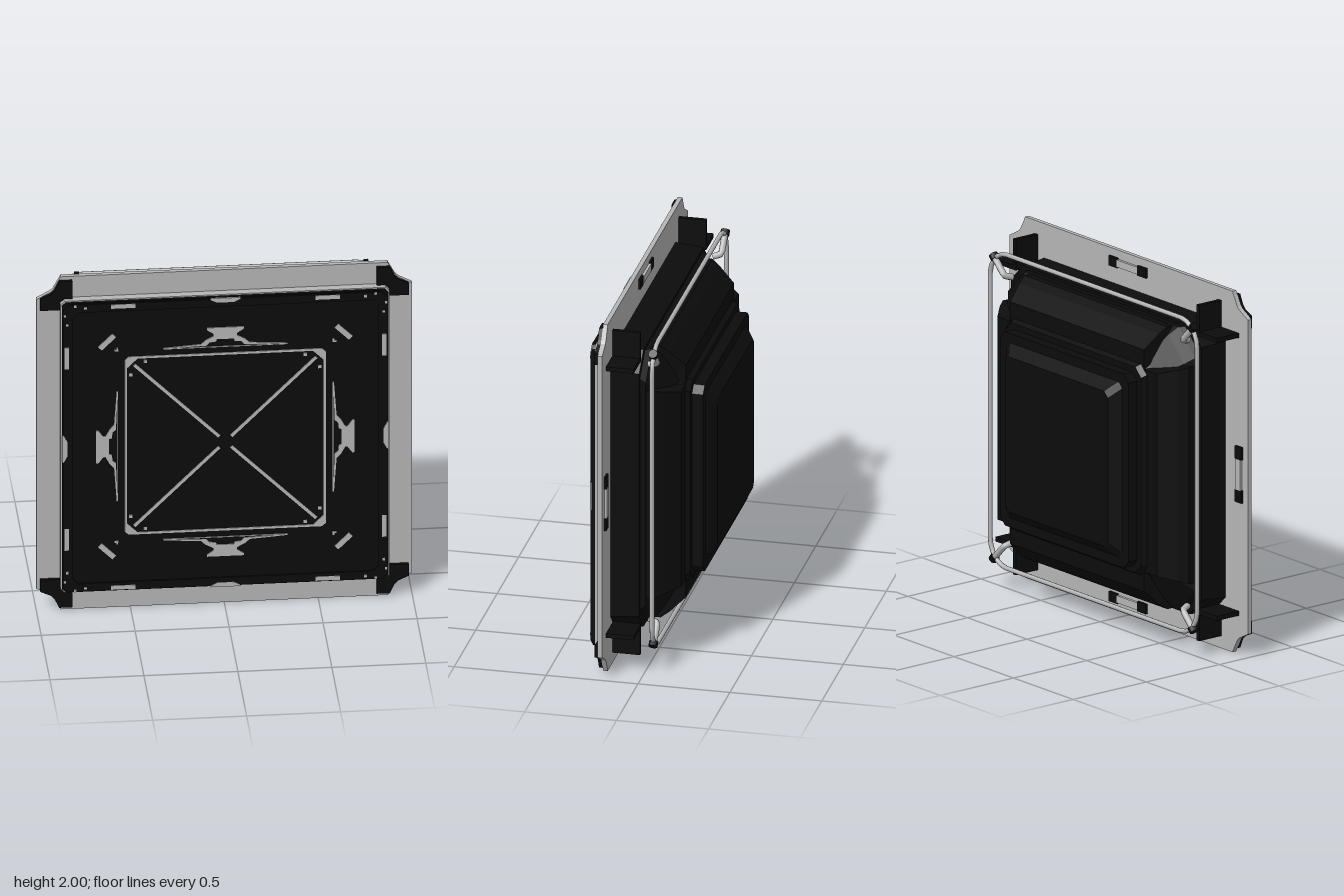
import * as THREE from 'three';

export function createModel() {
  const grey = new THREE.MeshStandardMaterial({ color: 0xb6b6b6 });
  grey.name = 'light grey metal';
  const black = new THREE.MeshStandardMaterial({ color: 0x0c0c0c });
  black.name = 'black shell';

  const root = new THREE.Group();
  root.name = 'squarePanel';
  const body = new THREE.Group();
  body.name = 'panelAssembly';
  body.position.y = 1;
  root.add(body);

  const add = (parent, name, geo, mat) => {
    const m = new THREE.Mesh(geo, mat);
    m.name = name;
    parent.add(m);
    return m;
  };
  const toShape = (pts) => new THREE.Shape(pts.map(([x, y]) => new THREE.Vector2(x, y)));
  // Flat plate between two depths, with optional holes
  const plate = (pts, z0, z1, holes = []) => {
    const s = toShape(pts);
    s.holes = holes.map(toShape);
    return new THREE.ExtrudeGeometry(s, { depth: z1 - z0, bevelEnabled: false }).translate(0, 0, z0);
  };
  const rect = (x, y, w, h) => [
    [x - w / 2, y - h / 2], [x + w / 2, y - h / 2], [x + w / 2, y + h / 2], [x - w / 2, y + h / 2]];
  // Square outline with cut corners, counter-clockwise
  const cutSquare = (h, c) => [
    [h, -h + c], [h, h - c], [h - c, h], [-h + c, h], [-h, h - c], [-h, -h + c], [-h + c, -h], [h - c, -h]];
  const mirrored = (half) => [...half, ...half.map(([x, y]) => [-x, y]).reverse()];
  // Repeats a part on all four sides
  const four = (name, build) => {
    for (let i = 0; i < 4; i++) {
      const g = new THREE.Group();
      g.name = name + (i + 1);
      g.rotation.z = i * Math.PI / 2;
      build(g);
      body.add(g);
    }
  };
  // Stepped shell through cut-corner squares [half, cut, z], from front to back
  const loft = (rings) => {
    const r = rings.map(([h, c, z]) => cutSquare(h, c).map(([x, y]) => [x, y, z]));
    const pos = [];
    for (let k = 0; k + 1 < r.length; k++) {
      for (let i = 0; i < 8; i++) {
        const j = (i + 1) % 8;
        pos.push(...r[k][i], ...r[k + 1][i], ...r[k + 1][j], ...r[k][i], ...r[k + 1][j], ...r[k][j]);
      }
    }
    const e = r[r.length - 1];
    for (let i = 1; i < 7; i++) pos.push(...e[0], ...e[i + 1], ...e[i]);
    const g = new THREE.BufferGeometry();
    g.setAttribute('position', new THREE.Float32BufferAttribute(pos, 3));
    g.computeVertexNormals();
    return g;
  };

  // Outer flange with notched corners
  const flange = [];
  for (let i = 0; i < 4; i++) {
    const c = [1, 0, -1, 0][i], s = [0, 1, 0, -1][i];
    for (const [x, y] of [[1, 0.87], [0.98, 0.88], [0.925, 0.91], [0.91, 0.925], [0.88, 0.98], [0.87, 1]]) {
      flange.push([x * c - y * s, x * s + y * c]);
    }
  }
  add(body, 'flange', plate(flange, 0.195, 0.22, [cutSquare(0.78, 0.05)]), grey);
  add(body, 'rim', plate(cutSquare(0.875, 0.02), 0.2, 0.264), grey);
  add(body, 'frontPanel', plate(cutSquare(0.868, 0.02), 0.264, 0.28), black);
  add(body, 'frontBorder', plate(cutSquare(0.862, 0.03), 0.28, 0.29, [cutSquare(0.815, 0.03)]), black);

  // Stepped rear shell
  add(body, 'rearShell', loft([
    [0.81, 0.1, 0.2], [0.8, 0.1, 0.04], [0.785, 0.12, 0.04], [0.785, 0.14, 0.01], [0.74, 0.13, -0.03],
    [0.62, 0.09, -0.125], [0.585, 0.05, -0.158], [0.57, 0.05, -0.185], [0.537, 0.04, -0.185],
    [0.537, 0.04, -0.246], [0.485, 0.03, -0.246], [0.43, 0.03, -0.298]]), black);

  four('side', (g) => {
    // Raised wedge on the rear slope
    const wedge = plate([[0.5, 0.02], [0.5, -0.158], [0.67, -0.158], [0.75, -0.075], [0.782, -0.03], [0.782, 0.02]], -0.6, 0.6);
    const p = wedge.attributes.position;
    for (let i = 0; i < p.count; i++) {
      const [y, z, x] = [p.getX(i), p.getY(i), p.getZ(i)];
      p.setXYZ(i, x * (1 - Math.max(0, -z - 0.03) * 0.5), y, z);
    }
    wedge.computeVertexNormals();
    add(g, 'rearWedge', wedge, black);
    // Latch behind the flange
    add(g, 'latchGrip', new THREE.BoxGeometry(0.17, 0.04, 0.02).translate(0, 0.93, 0.19), grey);
    for (const s of [-1, 1]) {
      add(g, 'latchEnd', new THREE.BoxGeometry(0.07, 0.055, 0.014).translate(s * 0.12, 0.93, 0.19), black);
      // Gusset fins near the corners
      const fin = plate([[0.76, 0.04], [0.93, 0.04], [0.93, 0.07], [0.86, 0.2], [0.76, 0.2]], -0.0125, 0.0125);
      fin.rotateY(-Math.PI / 2).rotateX(Math.PI / 2);
      const f = fin.attributes.position;
      for (let i = 0; i < f.count; i++) {
        const [a, b, c] = [f.getX(i), f.getY(i), f.getZ(i)];
        // remap so the fin reaches outward in y and back in z
        f.setXYZ(i, a, b, c);
      }
      fin.computeBoundingBox();
      add(g, 'gussetFin', new THREE.BoxGeometry(0.025, 0.17, 0.15).translate(s * 0.77, 0.845, 0.115), black);
      // Edge strips on the front
      add(g, 'edgeStrip', plate(rect(s * 0.545, 0.845, 0.13, 0.024), 0.288, 0.293), grey);
      add(g, 'smallDash', plate(rect(s * 0.58, 0.575, 0.022, 0.01), 0.28, 0.284), grey);
      add(g, 'cornerDot', plate(rect(s * 0.745, 0.842, 0.014, 0.014), 0.288, 0.293), grey);
      add(g, 'cornerDot', plate(rect(s * 0.8, 0.855, 0.014, 0.014), 0.288, 0.293), grey);
      add(g, 'cornerDot', plate(rect(s * 0.425, 0.503, 0.018, 0.018), 0.28, 0.284), grey);
    }
    add(g, 'edgeTab', plate(mirrored([[0.045, 0.842], [0.08, 0.86], [0.08, 0.868]]), 0.285, 0.293), grey);

    // Inlaid bracket above the central square
    add(g, 'inlayBracket', plate(mirrored([
      [0.33, 0.57], [0.33, 0.578], [0.13, 0.592], [0.105, 0.615], [0.062, 0.638], [0.062, 0.65], [0.098, 0.675], [0.098, 0.688],
    ]), 0.28, 0.285, [mirrored([[0.3, 0.5745], [0.1, 0.582], [0.085, 0.6], [0.05, 0.604], [0.045, 0.618]])]), grey);
  });

  four('corner', (g) => {
    // Black corner bracket on the flange
    add(g, 'cornerBracket', plate([
      [0.81, 0.81], [0.98, 0.81], [0.98, 0.88], [0.925, 0.905], [0.905, 0.925], [0.88, 0.98], [0.81, 0.98]], 0.2, 0.24), black);
    // Diagonal line and dash on the front
    add(g, 'diagonalLine', plate(rect(0.365, 0, 0.64, 0.018), 0.28, 0.284).rotateZ(Math.PI / 4), grey);
    add(g, 'diagonalDash', plate(rect(0.89, 0, 0.03, 0.108), 0.28, 0.285).rotateZ(Math.PI / 4), grey);
    // Strut and collar holding the rear rail
    const a = new THREE.Vector3(0.735, 0.735, 0.0), b = new THREE.Vector3(0.75, 0.75, -0.045);
    const c = new THREE.Vector3(0.845, 0.845, -0.045);
    const path = new THREE.CatmullRomCurve3([a, b, c], false, 'catmullrom', 0.1);
    add(g, 'railStrut', new THREE.TubeGeometry(path, 12, 0.018, 8), grey);
    const collar = new THREE.CylinderGeometry(0.025, 0.025, 0.03, 10);
    collar.rotateZ(-Math.PI / 4).translate(0.835, 0.835, -0.045);
    add(g, 'railCollar', collar, black);
  });

  // Central square frame with filled corners
  add(body, 'squareFrame', plate(cutSquare(0.535, 0.02), 0.28, 0.284, [cutSquare(0.522, 0.055)]), grey);

  // Rounded rail standing behind the shell
  const h = 0.868, r = 0.14, n = h - r;
  const rail = new THREE.CurvePath();
  const v = (x, y) => new THREE.Vector3(x, y, -0.045);
  for (let i = 0; i < 4; i++) {
    const q = (x, y) => v(x, y).applyAxisAngle(new THREE.Vector3(0, 0, 1), i * Math.PI / 2);
    rail.add(new THREE.LineCurve3(q(h, -n), q(h, n)));
    const k = n + r * 0.552;
    rail.add(new THREE.CubicBezierCurve3(q(h, n), q(h, k), q(k, h), q(n, h)));
  }
  add(body, 'rearRail', new THREE.TubeGeometry(rail, 160, 0.013, 8, true), grey);

  return root;
}
